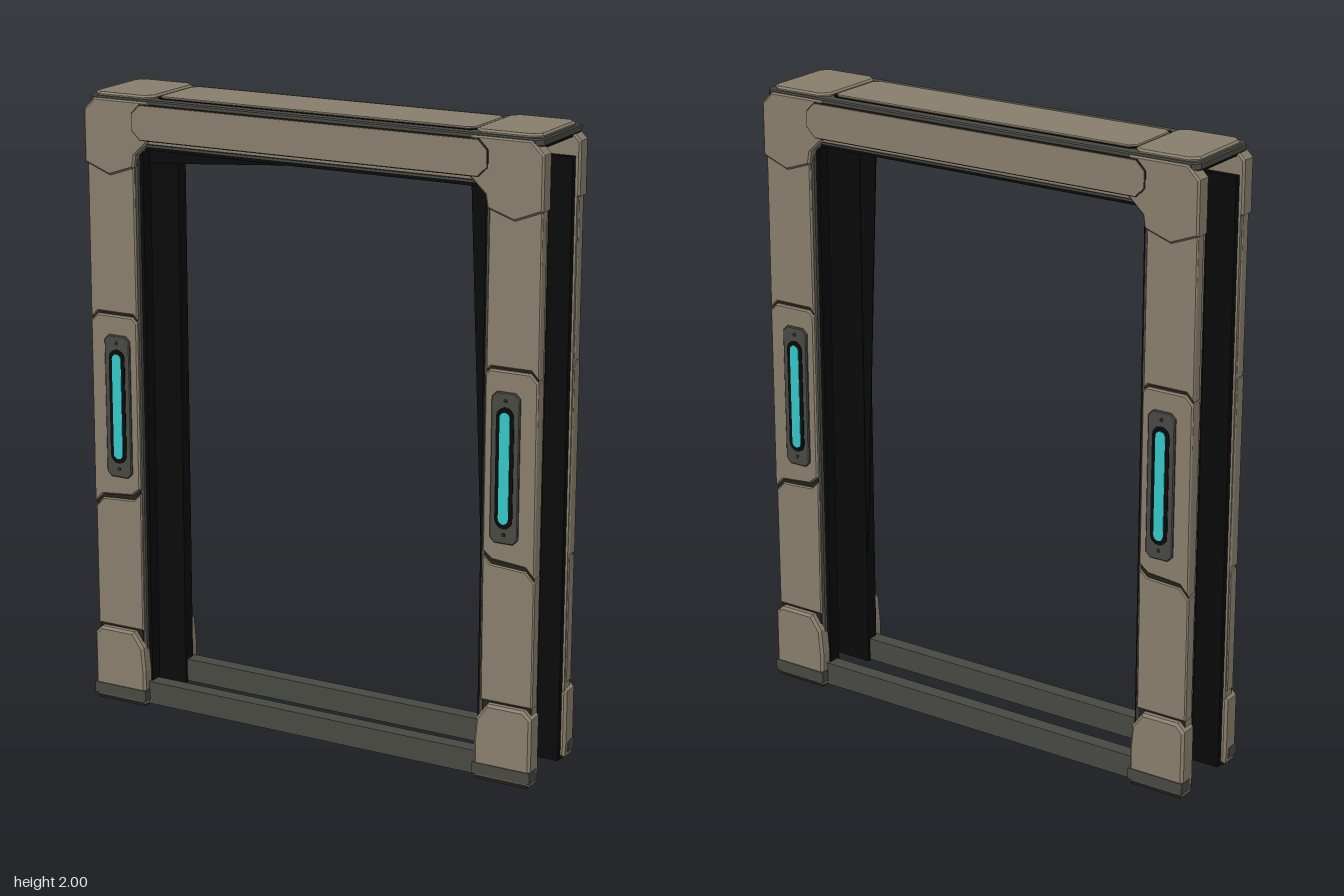
import * as THREE from 'three';

const mat = (name, color) => {
  const m = new THREE.MeshStandardMaterial({ color, flatShading: true });
  m.name = name;
  return m;
};

export function createModel() {
  const tan = mat('tanPaint', 0x8a7f6d);
  const gray = mat('darkGrayMetal', 0x484943);
  const black = mat('blackLining', 0x0a0a0a);
  const seam = mat('seamShade', 0x24221d);
  const cyan = mat('cyanLight', 0x36c8ca);
  const thin = mat('blackSheet', 0x0a0a0a);
  thin.side = THREE.DoubleSide;

  const add = (parent, name, geo, material) => {
    const mesh = new THREE.Mesh(geo, material);
    mesh.name = name;
    parent.add(mesh);
    return mesh;
  };

  // Box given by its limits
  const box = (parent, name, material, x0, x1, y0, y1, z0, z1) => {
    const geo = new THREE.BoxGeometry(Math.abs(x1 - x0), y1 - y0, z1 - z0);
    geo.translate((x0 + x1) / 2, (y0 + y1) / 2, (z0 + z1) / 2);
    return add(parent, name, geo, material);
  };

  // Outline extruded from z0 to z1, with its front and back edges chamfered
  const plate = (parent, name, material, pts, z0, z1, bevel = 0) => {
    const shape = new THREE.Shape(pts.map(([x, y]) => new THREE.Vector2(x, y)));
    const geo = new THREE.ExtrudeGeometry(shape, {
      depth: z1 - z0 - 2 * bevel, bevelEnabled: bevel > 0, bevelThickness: bevel,
      bevelSize: bevel, bevelOffset: -bevel, bevelSegments: 1,
    });
    geo.translate(0, 0, z0 + bevel);
    return add(parent, name, geo, material);
  };

  // Rectangle with cut corners
  const octagon = (x0, x1, y0, y1, c) => [
    [x0 + c, y0], [x1 - c, y0], [x1, y0 + c], [x1, y1 - c],
    [x1 - c, y1], [x0 + c, y1], [x0, y1 - c], [x0, y0 + c],
  ];

  // Upright rounded slot
  const slot = (cx, y0, y1, r) => {
    const pts = [];
    for (let i = 0; i <= 16; i++) {
      const a = (i % 17) / 16 * Math.PI * 2;
      if (i === 16) break;
      pts.push([cx + Math.cos(a) * r, (Math.sin(a) >= 0 ? y1 - r : y0 + r) + Math.sin(a) * r]);
      if (i === 8) pts.push([cx - r, y0 + r]);
    }
    pts.push([cx + r, y0 + r]);
    return pts;
  };

  function jamb(s) {
    const g = new THREE.Group();
    g.name = s > 0 ? 'leftJamb' : 'rightJamb';
    const m = (pts) => pts.map(([x, y]) => [s * x, y]);

    // Layered body: black lining, gray edge, tan outer skin
    box(g, 'jambLining', black, s * 0.585, s * 0.765, 0, 1.9, 0.08, 0.101);
    box(g, 'innerLining', black, s * 0.585, s * 0.60, 0.08, 1.85, 0.1, 0.125);
    box(g, 'innerTrim', gray, s * 0.596, s * 0.62, 0.04, 1.85, 0.1, 0.137);
    box(g, 'jambCore', tan, s * 0.61, s * 0.772, 0.02, 1.85, 0.1, 0.138);

    // Seam beds behind the panels
    box(g, 'seamBed', seam, s * 0.608, s * 0.771, 0.2, 1.8, 0.13, 0.141);
    plate(g, 'upperPanel', tan, m([[0.605, 1.29], [0.62, 1.305], [0.75, 1.305], [0.775, 1.28],
      [0.775, 1.8], [0.605, 1.8]]), 0.11, 0.146, 0.004);
    plate(g, 'lightHousing', tan, m([[0.603, 0.735], [0.635, 0.71], [0.745, 0.70], [0.775, 0.67],
      [0.775, 1.272], [0.75, 1.298], [0.62, 1.298], [0.603, 1.28]]), 0.105, 0.15, 0.005);
    plate(g, 'lowerPanel', tan, m([[0.603, 0.255], [0.775, 0.255], [0.775, 0.655], [0.745, 0.688],
      [0.63, 0.695], [0.603, 0.72]]), 0.105, 0.146, 0.004);

    // Foot with its dark band
    plate(g, 'foot', tan, m([[0.592, 0.006], [0.777, 0.006], [0.78, 0.05], [0.78, 0.225], [0.755, 0.25],
      [0.632, 0.25], [0.597, 0.20], [0.59, 0.12]]), 0.098, 0.164, 0.008);
    box(g, 'footBand', gray, s * 0.588, s * 0.781, 0.018, 0.055, 0.12, 0.167);
    box(g, 'footSole', seam, s * 0.595, s * 0.77, 0, 0.01, 0.1, 0.158);

    // Light strip
    plate(g, 'lightPlate', gray, octagon(s * 0.675 - 0.046, s * 0.675 + 0.046, 0.768, 1.235, 0.016), 0.14, 0.158, 0.003);
    plate(g, 'lightSlot', black, slot(s * 0.675, 0.815, 1.19, 0.029), 0.15, 0.16);
    plate(g, 'lightStrip', cyan, slot(s * 0.675, 0.83, 1.175, 0.0165), 0.155, 0.162);
    for (const y of [0.797, 1.21]) {
      plate(g, 'plateBolt', seam, octagon(s * 0.675 - 0.006, s * 0.675 + 0.006, y - 0.006, y + 0.006, 0.003), 0.152, 0.159);
    }

    // Corner bracket over the meeting of jamb and header
    plate(g, 'cornerBracket', tan, m([[0.545, 1.862], [0.595, 1.815], [0.602, 1.775], [0.69, 1.745],
      [0.78, 1.78], [0.78, 1.945], [0.74, 1.985], [0.545, 1.985]]), 0.1, 0.155, 0.006);
    return g;
  }

  function leaf(name) {
    const g = new THREE.Group();
    g.name = name;
    g.add(jamb(1), jamb(-1));

    // Header beam
    box(g, 'headerLining', black, -0.6, 0.6, 1.83, 1.96, 0.08, 0.125);
    box(g, 'headerTrim', gray, -0.6, 0.6, 1.842, 1.96, 0.1, 0.137);
    plate(g, 'headerBeam', tan, octagon(-0.61, 0.61, 1.852, 1.985, 0.004), 0.1, 0.149, 0.003);
    plate(g, 'headerSeam', seam, octagon(-0.605, 0.605, 1.864, 1.977, 0.03), 0.148, 0.1565);
    plate(g, 'headerPanel', tan, octagon(-0.601, 0.601, 1.868, 1.973, 0.028), 0.15, 0.159);

    // Sill strip
    box(g, 'sill', gray, -0.6, 0.6, 0.004, 0.08, 0.09, 0.138);
    return g;
  }

  const model = new THREE.Group();
  model.name = 'doorFrame';
  const back = leaf('backLeaf');
  back.rotation.y = Math.PI;
  model.add(leaf('frontLeaf'), back);

  // Core and cap joining the two leaves at the top
  box(model, 'headerCore', black, -0.6, 0.6, 1.88, 1.97, -0.1, 0.1);
  box(model, 'capUnderside', black, -0.755, 0.755, 1.955, 1.968, -0.11, 0.11);

  // Lying plate: outline in x and z, raised from y0 to y1
  const slab = (name, material, x0, x1, hz, c, y0, y1, bevel) => {
    const mesh = plate(model, name, material, octagon(x0, x1, -hz, hz, c), y0, y1, bevel);
    mesh.geometry.rotateX(-Math.PI / 2);
  };
  slab('capBase', gray, -0.77, 0.77, 0.15, 0.02, 1.966, 1.99, 0.004);
  slab('capSeam', black, -0.545, 0.545, 0.115, 0.02, 1.985, 1.992, 0);
  slab('capPanel', tan, -0.537, 0.537, 0.108, 0.02, 1.986, 1.997, 0.003);
  for (const s of [-1, 1]) {
    const c = s * 0.652;
    slab('capEnd', tan, c - 0.106, c + 0.106, 0.136, 0.025, 1.975, 2, 0.006);
  }

  // Tapering black lining sheets at the front opening
  plate(model, 'jambSheet', thin, [[0.52, 1.832], [0.59, 1.832], [0.59, 0.4], [0.582, 0.4]], 0.083, 0.087);
  plate(model, 'headerSheet', thin, [[-0.59, 1.78], [0.03, 1.832], [-0.59, 1.832]], 0.083, 0.087);
  return model;
}
